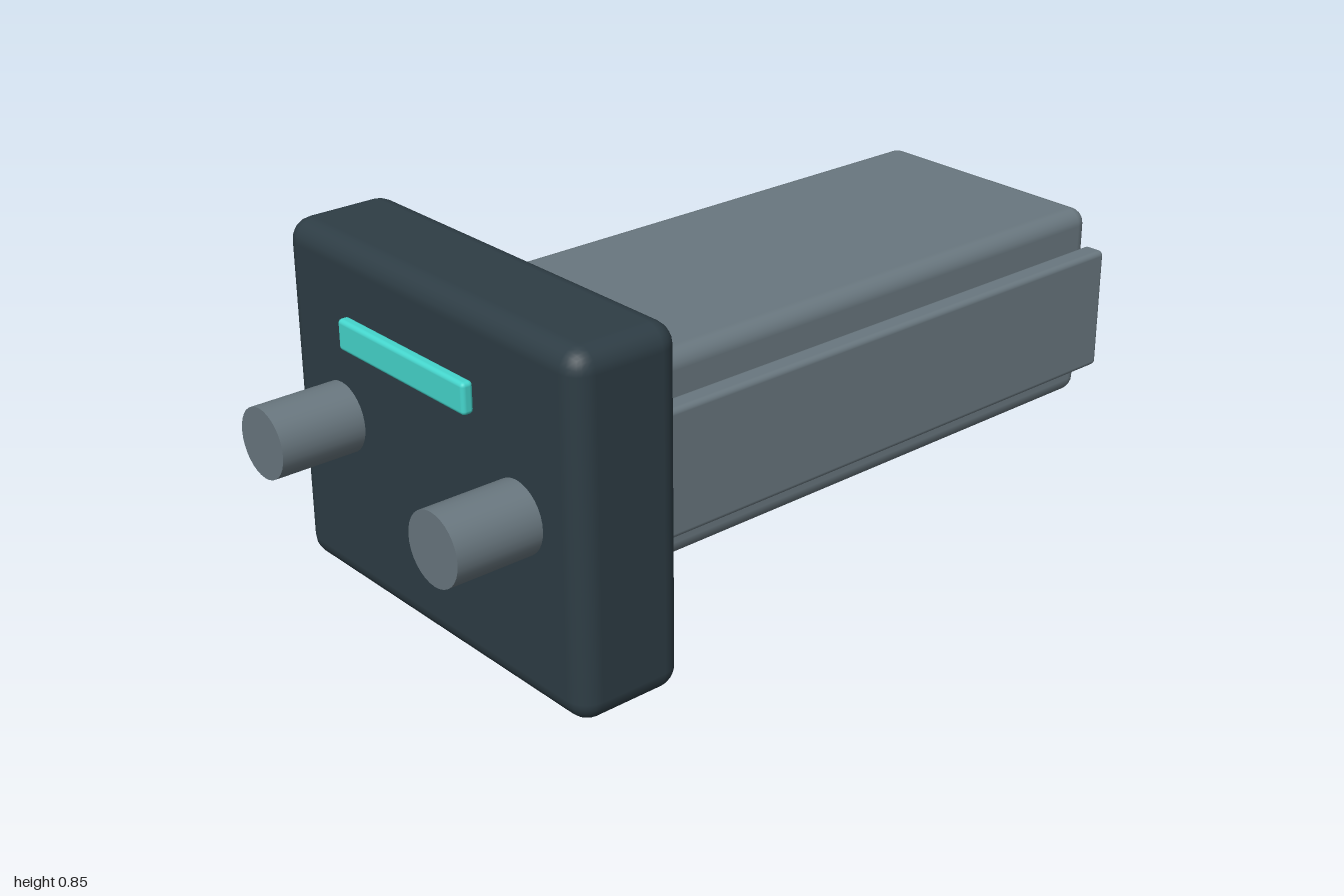
import * as THREE from 'three';
import { RoundedBoxGeometry } from 'three/addons/geometries/RoundedBoxGeometry.js';

const material = (name, color) => {
  const m = new THREE.MeshStandardMaterial({ color });
  m.name = name;
  return m;
};

export function createModel() {
  const model = new THREE.Group();
  model.name = 'drawerModule';

  const darkSlate = material('dark slate', 0x2e3d45);
  const steelGrey = material('steel grey', 0x69777f);
  const turquoise = material('turquoise', 0x45d6cd);

  // Rounded box given by its min and max on each axis
  const roundedBox = (name, mat, [x0, x1], [y0, y1], [z0, z1], radius) => {
    const geometry = new RoundedBoxGeometry(x1 - x0, y1 - y0, z1 - z0, 3, radius);
    const mesh = new THREE.Mesh(geometry, mat);
    mesh.name = name;
    mesh.position.set((x0 + x1) / 2, (y0 + y1) / 2, (z0 + z1) / 2);
    model.add(mesh);
  };

  // Long body behind the face plate
  roundedBox('body', steelGrey, [-0.333, 0.333], [0.18, 0.675], [-1, 0.6], 0.04);
  roundedBox('facePlate', darkSlate, [-0.526, 0.526], [0, 0.852], [0.51, 0.787], 0.053);

  // Status bar standing just clear of the plate
  roundedBox('statusBar', turquoise, [-0.23, 0.23], [0.638, 0.712], [0.817, 0.846], 0.01);

  // Side rails and round handles, mirrored
  for (const [side, s] of [['left', 1], ['right', -1]]) {
    const xs = s > 0 ? [0.339, 0.396] : [-0.396, -0.339];
    roundedBox(side + 'Rail', steelGrey, xs, [0.273, 0.582], [-0.99, 0.6], 0.013);

    const handle = new THREE.Mesh(new THREE.CylinderGeometry(0.085, 0.085, 0.26, 32), steelGrey);
    handle.name = side + 'Handle';
    handle.rotation.x = Math.PI / 2;
    handle.position.set(s * 0.323, 0.427, 0.87);
    model.add(handle);
  }

  return model;
}
